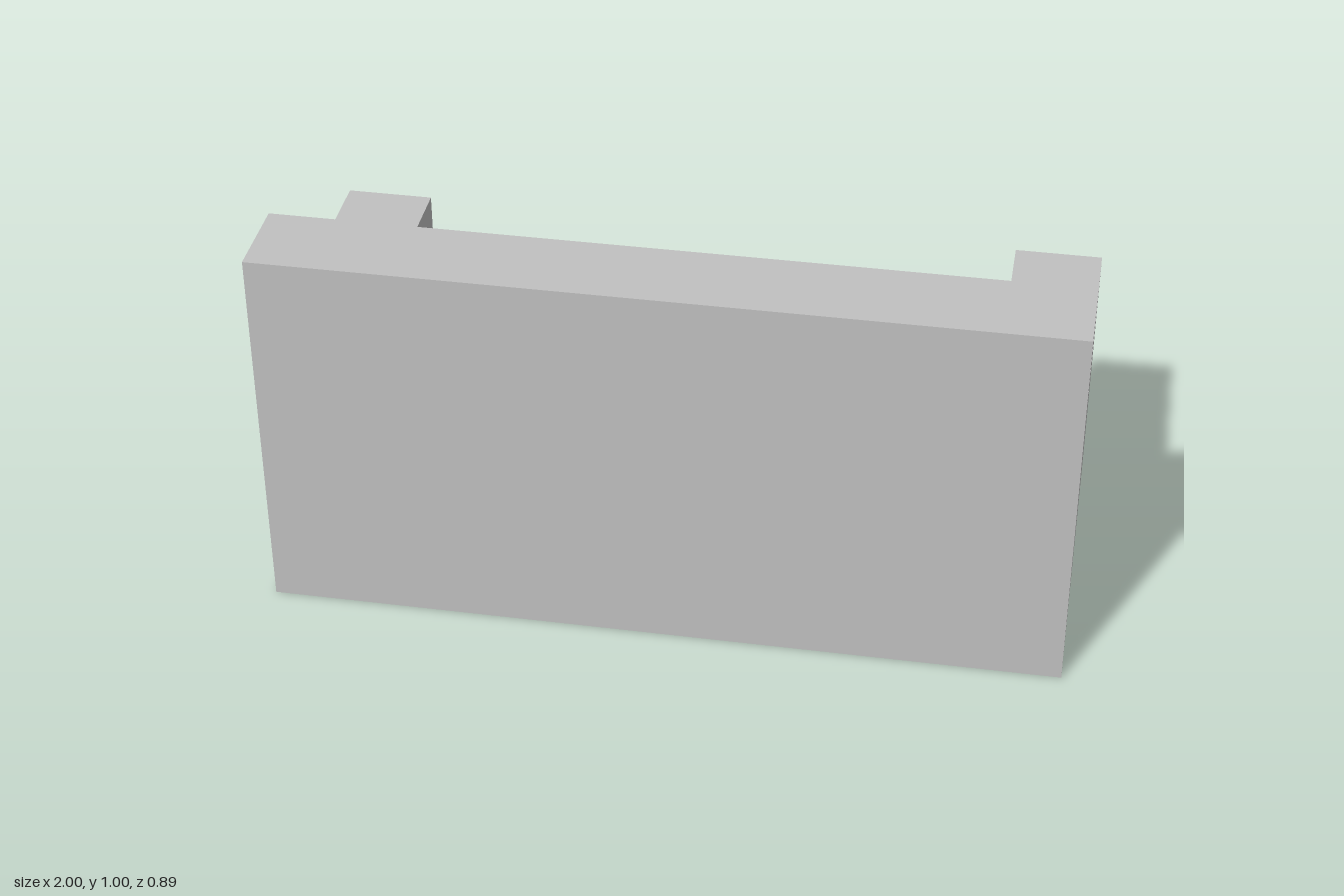
import * as THREE from 'three';

const HALF_W = 1, HALF_D = 4 / 9;
const SEAT_H = 4 / 9, ARM_H = 2 / 3, BACK_H = 1;
const THICK = 2 / 9; // thickness of arms and backrest

export function createModel() {
  const group = new THREE.Group();
  group.name = 'sofa';
  const grey = new THREE.MeshStandardMaterial({ color: 0xc0c0c0 });
  grey.name = 'light grey';

  // Seat block and both arms: one U-shaped profile run along the depth
  const inner = HALF_W - THICK;
  const profile = new THREE.Shape([
    [-HALF_W, 0], [HALF_W, 0], [HALF_W, ARM_H], [inner, ARM_H],
    [inner, SEAT_H], [-inner, SEAT_H], [-inner, ARM_H], [-HALF_W, ARM_H],
  ].map(([x, y]) => new THREE.Vector2(x, y)));
  const seatGeometry = new THREE.ExtrudeGeometry(profile, {
    depth: 2 * HALF_D - THICK, bevelEnabled: false,
  });
  const seat = new THREE.Mesh(seatGeometry, grey);
  seat.name = 'seatAndArms';
  seat.position.z = -HALF_D;
  group.add(seat);

  // Full-height backrest along the +z side
  const back = new THREE.Mesh(new THREE.BoxGeometry(2 * HALF_W, BACK_H, THICK), grey);
  back.name = 'backrest';
  back.position.set(0, BACK_H / 2, HALF_D - THICK / 2);
  group.add(back);

  return group;
}
